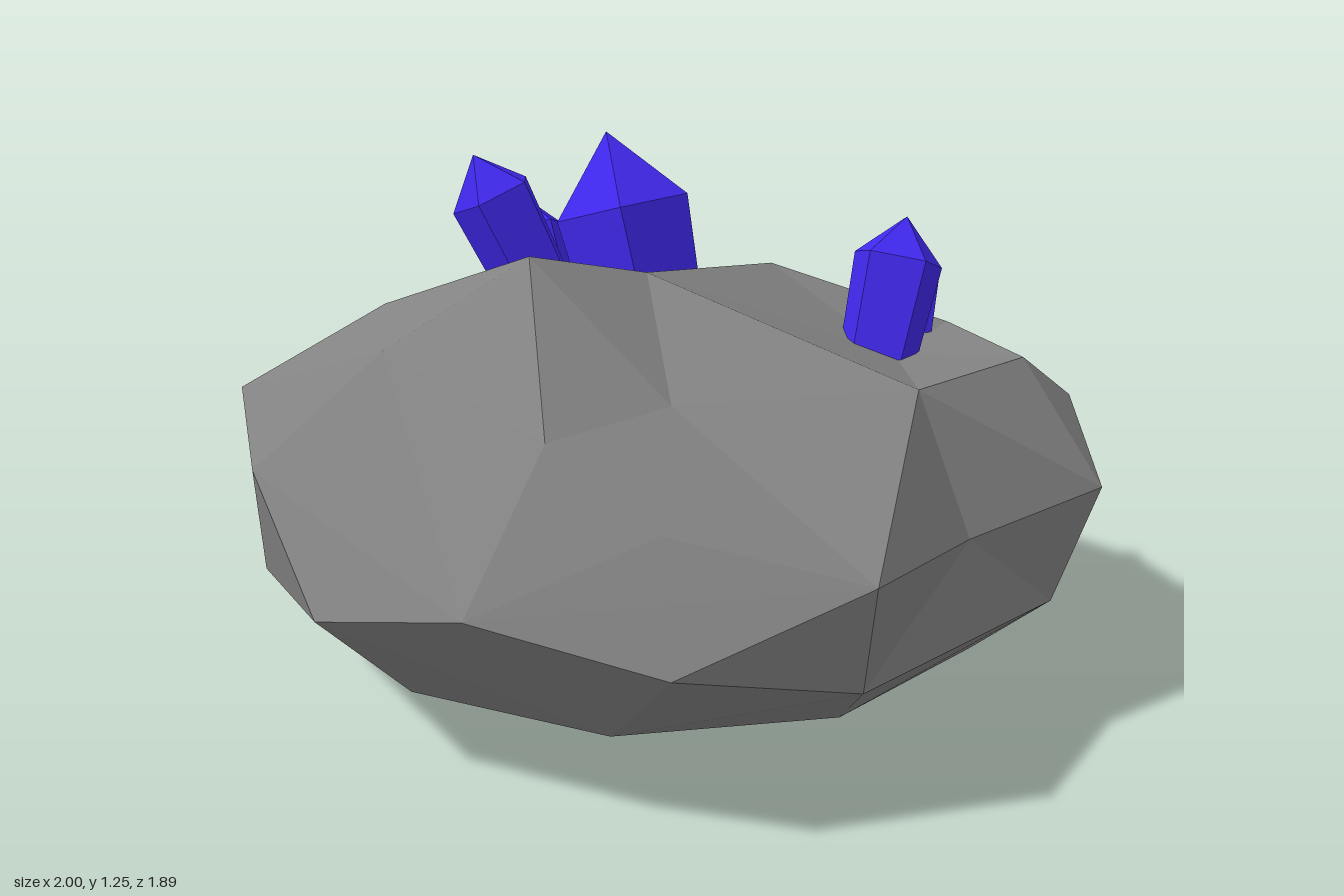
import * as THREE from 'three';
import { ConvexGeometry } from 'three/addons/geometries/ConvexGeometry.js';

const V = (x, y, z) => new THREE.Vector3(x, y, z);

// Named corners of the crown, shared by the hull and the hollows
const ridgeL = V(-0.41, 1.03, 0), ridgeM = V(-0.1, 0.96, 0.05), ridgeR = V(0.4, 0.91, 0);
const rimBL = V(-0.43, 0.86, -0.49), rimB = V(-0.15, 0.82, -0.62), rimBR = V(0.35, 0.79, -0.7);
const rimR = V(0.38, 0.82, -0.39), shoulderBR = V(0.67, 0.77, -0.47), shoulderR = V(0.67, 0.77, 0.35);
const shoulderFR = V(0.47, 0.77, 0.69), shoulderF = V(0, 0.79, 0.73), shoulderL = V(-0.7, 0.75, 0.36);
const shoulderBL = V(-0.7, 0.67, -0.7);
// Named corners of the sides
const frontL = V(-0.41, 0.53, 0.94), frontR = V(0.41, 0.53, 0.94);
const lowFrontL = V(-0.39, 0.3, 0.9), lowFrontR = V(0.31, 0.28, 0.89);
const lip = V(-0.41, 0.47, -0.95), lipTop = V(-0.39, 0.65, -0.74);
const backM = V(0.22, 0.3, -0.91), backR = V(0.38, 0.65, -0.88), cornerBR = V(0.72, 0.37, -0.71);
const sideBL = V(-0.89, 0.58, -0.37), lowBL = V(-0.76, 0.27, -0.55), lowBackL = V(-0.38, 0.28, -0.9);

// Replaces the triangles lying between the rim corners by a fan to a sunken centre
function dent(triangles, rim, centre) {
  const inRim = (p) => rim.some((q) => q.distanceTo(p) < 1e-4);
  const removed = triangles.filter((t) => t.every(inRim));
  const kept = triangles.filter((t) => !t.every(inRim));
  const edges = removed.flatMap(([a, b, c]) => [[a, b], [b, c], [c, a]]);
  const same = (p, q) => p.distanceTo(q) < 1e-4;
  const outline = edges.filter(([a, b]) => !edges.some(([c, d]) => same(a, d) && same(b, c)));
  return [...kept, ...outline.map(([a, b]) => [a, b, centre])];
}

function createRock(material) {
  const points = [
    ridgeL, ridgeR, rimBL, rimB, rimBR, shoulderBR, shoulderR, shoulderFR, shoulderF, shoulderL,
    shoulderBL, frontL, frontR, lowFrontL, lowFrontR, lip, backM, backR, cornerBR, sideBL,
    lowBL, lowBackL,
    V(-0.7, 0.85, -0.14), V(0.69, 0.64, 0.69), V(0.69, 0.38, 0.74), V(0.87, 0.64, 0.39),
    V(1, 0.56, -0.05), V(0.87, 0.65, -0.38), V(0.94, 0.48, -0.4),
    V(-1, 0.37, 0), V(-0.95, 0.47, 0.4), V(-0.73, 0.38, 0.72), V(-0.64, 0.61, 0.61),
    V(0.94, 0.29, 0.18), V(0.88, 0.32, 0.38), V(0.9, 0.29, -0.3),
    V(-0.24, 0, 0),
  ];
  // Two regular rings form the shallow underside
  for (const [n, r, y, turn] of [[10, 0.77, 0.14, 0], [7, 0.45, 0.045, 0.2]]) {
    for (let i = 0; i < n; i++) {
      const a = turn + (i / n) * Math.PI * 2;
      points.push(V(r * Math.cos(a), y, r * Math.sin(a)));
    }
  }
  const hull = new ConvexGeometry(points).getAttribute('position');
  const corner = (i) => V(0, 0, 0).fromBufferAttribute(hull, i);
  let triangles = [];
  for (let i = 0; i < hull.count; i += 3) triangles.push([corner(i), corner(i + 1), corner(i + 2)]);

  // Hollows, in order: each rim may use the centre of an earlier one
  const hollows = [
    [[frontL, frontR, lowFrontL, lowFrontR, shoulderF], V(0, 0.5, 0.87)],
    [[ridgeL, ridgeR, shoulderF, shoulderFR], ridgeM],
    [[ridgeL, ridgeR, rimBL, rimB, rimBR, shoulderBR], rimR],
    [[ridgeL, ridgeM, ridgeR, rimR, rimBR, rimB, rimBL], V(0, 0.73, -0.38)],
    [[ridgeM, ridgeR, shoulderR, shoulderFR, shoulderF], V(0.4, 0.74, 0.38)],
    [[ridgeL, ridgeM, shoulderF, frontL, shoulderL], V(-0.39, 0.77, 0.4)],
    [[lip, shoulderBL, rimBL, rimB], lipTop],
    [[lip, lipTop, shoulderBL, sideBL, lowBL, lowBackL], V(-0.67, 0.49, -0.67)],
    [[lip, backM, backR, lowBackL], V(-0.02, 0.44, -0.87)],
    [[backR, shoulderBR, cornerBR, backM], V(0.48, 0.6, -0.79)],
  ];
  for (const [rim, centre] of hollows) triangles = dent(triangles, rim, centre);

  const geometry = new THREE.BufferGeometry().setFromPoints(triangles.flat());
  geometry.computeVertexNormals();
  const rock = new THREE.Mesh(geometry, material);
  rock.name = 'rock';
  return rock;
}

// Five-sided shaft that widens upward and ends in a point
function createCrystal(base, tip, radius, shoulder, turn, material) {
  const axis = tip.clone().sub(base);
  const length = axis.length();
  const profile = [[0, -0.16], [radius * 0.82, -0.16], [radius, length * shoulder], [0, length]]
    .map(([x, y]) => new THREE.Vector2(x, y));
  const geometry = new THREE.LatheGeometry(profile, 5);
  geometry.rotateY(turn);
  const crystal = new THREE.Mesh(geometry, material);
  crystal.position.copy(base);
  crystal.quaternion.setFromUnitVectors(V(0, 1, 0), axis.normalize());
  return crystal;
}

export function createModel() {
  const group = new THREE.Group();
  group.name = 'crystalRock';
  const stone = new THREE.MeshStandardMaterial({ color: 0x828282, flatShading: true });
  const gem = new THREE.MeshStandardMaterial({ color: 0x4028ec, flatShading: true });

  group.add(createRock(stone));

  // Base, tip, radius, shoulder height along the shaft, turn
  const crystals = [
    ['largeCrystal', V(0.035, 0.88, -0.1), V(0.02, 1.25, -0.2), 0.165, 0.52, 0.45],
    ['leftCrystal', V(-0.24, 0.92, -0.16), V(-0.34, 1.22, -0.26), 0.1, 0.7, 0.2],
    ['backCrystal', V(-0.04, 0.82, -0.35), V(-0.04, 1.09, -0.46), 0.095, 0.66, 0],
    ['frontCrystal', V(0.37, 0.8, 0.37), V(0.45, 1.06, 0.37), 0.11, 0.63, 0.9],
    ['smallCrystal', V(0.57, 0.78, 0.295), V(0.64, 0.98, 0.26), 0.075, 0.6, 0.3],
  ];
  for (const [name, ...spec] of crystals) {
    const crystal = createCrystal(...spec, gem);
    crystal.name = name;
    group.add(crystal);
  }
  return group;
}
